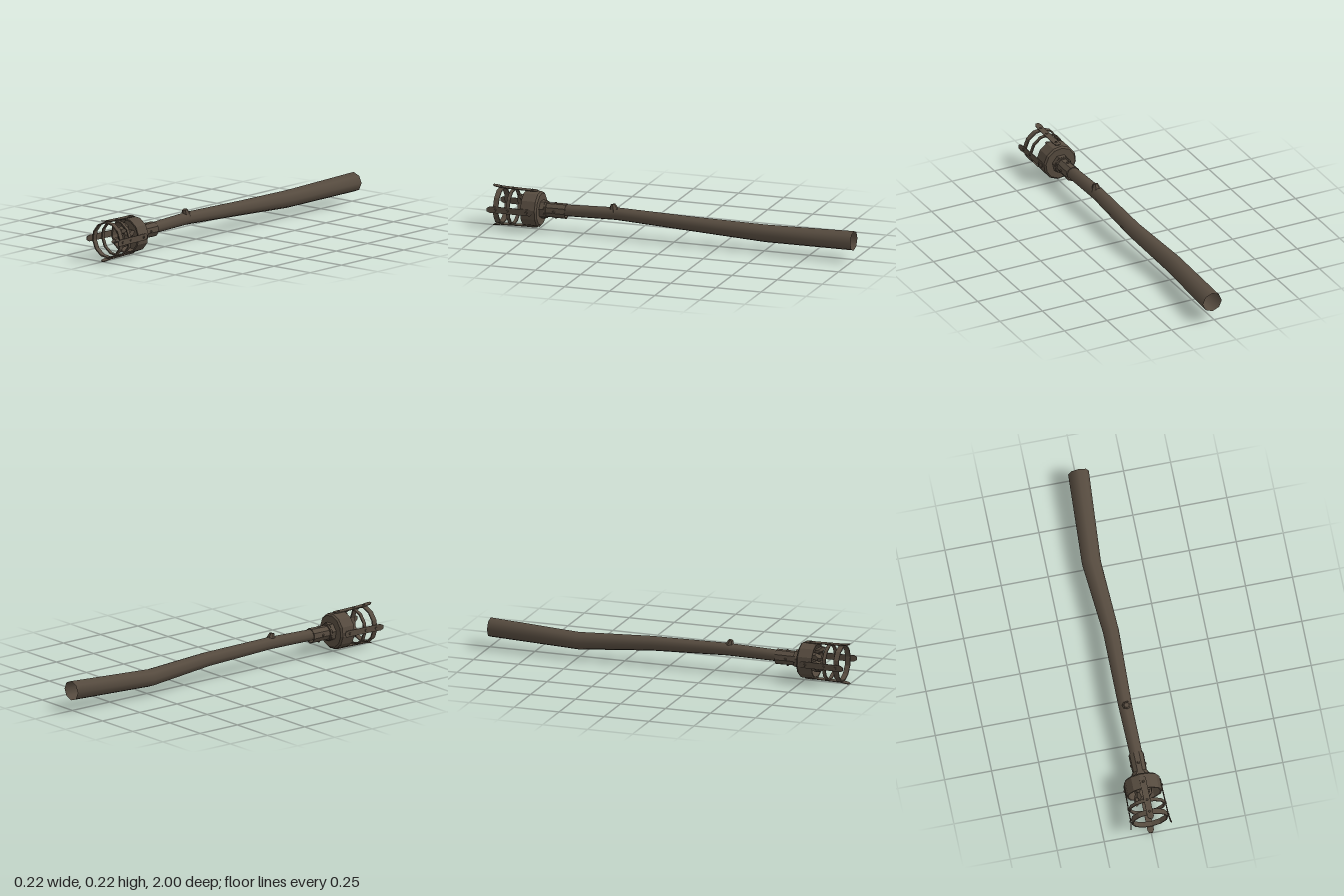
import * as THREE from 'three';
import { toCreasedNormals } from 'three/addons/utils/BufferGeometryUtils.js';

const AXIS_Y = 0.11; // height of the head's centre line

export function createModel() {
  const model = new THREE.Group();
  model.name = 'torch';
  const wood = new THREE.MeshStandardMaterial({ color: 0x564b3f, side: THREE.DoubleSide });
  wood.name = 'dark brown';

  const head = new THREE.Group();
  head.name = 'head';
  head.position.y = AXIS_Y;
  model.add(head);

  const add = (parent, name, geometry) => {
    const mesh = new THREE.Mesh(geometry, wood);
    mesh.name = name;
    parent.add(mesh);
    return mesh;
  };

  // Faceted turned part: profile of [radius, z], revolved around z
  const turned = (name, profile, sides, turn = 0) => {
    const g = new THREE.LatheGeometry(profile.map(([r, z]) => new THREE.Vector2(r, z)), sides);
    g.rotateY(turn).rotateX(Math.PI / 2);
    return add(head, name, toCreasedNormals(g, 0.3));
  };

  // Crooked hollow shaft: z, centre x, centre y, radius
  const stations = [
    [-1, 0.01, 0.105, 0.055],
    [-0.5, -0.02, 0.09, 0.05],
    [-0.1, 0.004, 0.11, 0.042],
    [0.32, -0.004, 0.123, 0.036],
    [0.62, 0, 0.115, 0.033],
    [0.74, 0, 0.11, 0.033],
  ];
  const n = stations.length - 1;
  const shaft = new THREE.CylinderGeometry(1, 1, 1, 8, n, true).rotateX(Math.PI / 2);
  const p = shaft.attributes.position;
  for (let i = 0; i < p.count; i++) {
    const [z, cx, cy, r] = stations[Math.round((p.getZ(i) + 0.5) * n)];
    p.setXYZ(i, cx + p.getX(i) * r, cy + p.getY(i) * r * 0.95, z);
  }
  add(model, 'shaft', toCreasedNormals(shaft, 1));

  // Cut branch stub on the shaft
  const knot = add(model, 'knot', new THREE.CylinderGeometry(0.013, 0.03, 0.04, 7).toNonIndexed());
  knot.geometry.computeVertexNormals();
  knot.position.set(0, 0.154, 0.335);
  knot.rotation.x = 0.25;

  // Socket, nut and open cup
  turned('socket', [[0.034, 0.595], [0.041, 0.595], [0.039, 0.7], [0.046, 0.7], [0.046, 0.712], [0.034, 0.712]], 9);
  turned('nut', [[0, 0.71], [0.05, 0.71], [0.05, 0.738], [0, 0.738]], 7);
  turned('cup', [[0, 0.733], [0.086, 0.733], [0.095, 0.742], [0.095, 0.82],
    [0.087, 0.82], [0.083, 0.755], [0, 0.755]], 12, 0.12);

  // Hoops of the basket
  for (const [z0, z1] of [[0.88, 0.898], [0.942, 0.97]]) {
    turned('hoop', [[0.09, z0], [0.097, z0], [0.097, z1], [0.09, z1], [0.09, z0]], 12, 0.12);
  }

  // Four flared straps with rivets: z, radius, half width
  const strapStations = [
    [0.755, 0.097, 0.008], [0.765, 0.097, 0.017], [0.82, 0.097, 0.017],
    [0.955, 0.1, 0.017], [0.985, 0.104, 0.017], [1, 0.108, 0.009],
  ];
  const m = strapStations.length - 1;
  const strapGeometry = new THREE.BoxGeometry(2, 0.004, 1, 1, 1, m);
  const s = strapGeometry.attributes.position;
  for (let i = 0; i < s.count; i++) {
    const [z, r, w] = strapStations[Math.round((s.getZ(i) + 0.5) * m)];
    s.setXYZ(i, s.getX(i) * w, r + s.getY(i), z);
  }
  const strapFlat = toCreasedNormals(strapGeometry, 0.3);
  const rivetGeometry = new THREE.CylinderGeometry(0.005, 0.008, 0.006, 7);
  for (let k = 0; k < 4; k++) {
    const side = new THREE.Group();
    side.name = 'strapWithRivets';
    side.rotation.z = k * Math.PI / 2;
    head.add(side);
    add(side, 'strap', strapFlat);
    for (const [r, z] of [[0.101, 0.785], [0.101, 0.889], [0.103, 0.956], [0.041, 0.655]]) {
      add(side, 'rivet', rivetGeometry).position.set(0, r, z);
    }
  }

  // Charred lumps in the cup: x, y, z, size, stretch along its length, tilt
  const lumps = [
    [-0.022, 0.027, 0.82, 0.023, 1.8, 0.2],
    [0.01, 0.055, 0.83, 0.017, 2.2, -0.5],
    [0.02, 0.01, 0.815, 0.023, 1.7, 0.6],
    [-0.026, -0.014, 0.81, 0.023, 1.8, -0.3],
    [-0.004, -0.036, 0.81, 0.023, 1.8, 0.4],
    [-0.044, -0.026, 0.835, 0.015, 2.4, 0.3],
  ];
  for (const [x, y, z, size, stretch, tilt] of lumps) {
    const coal = add(head, 'coal', new THREE.DodecahedronGeometry(size));
    coal.position.set(x, y, z);
    coal.scale.z = stretch;
    coal.rotation.set(tilt, -tilt * 0.6, tilt * 3);
  }
  return model;
}
